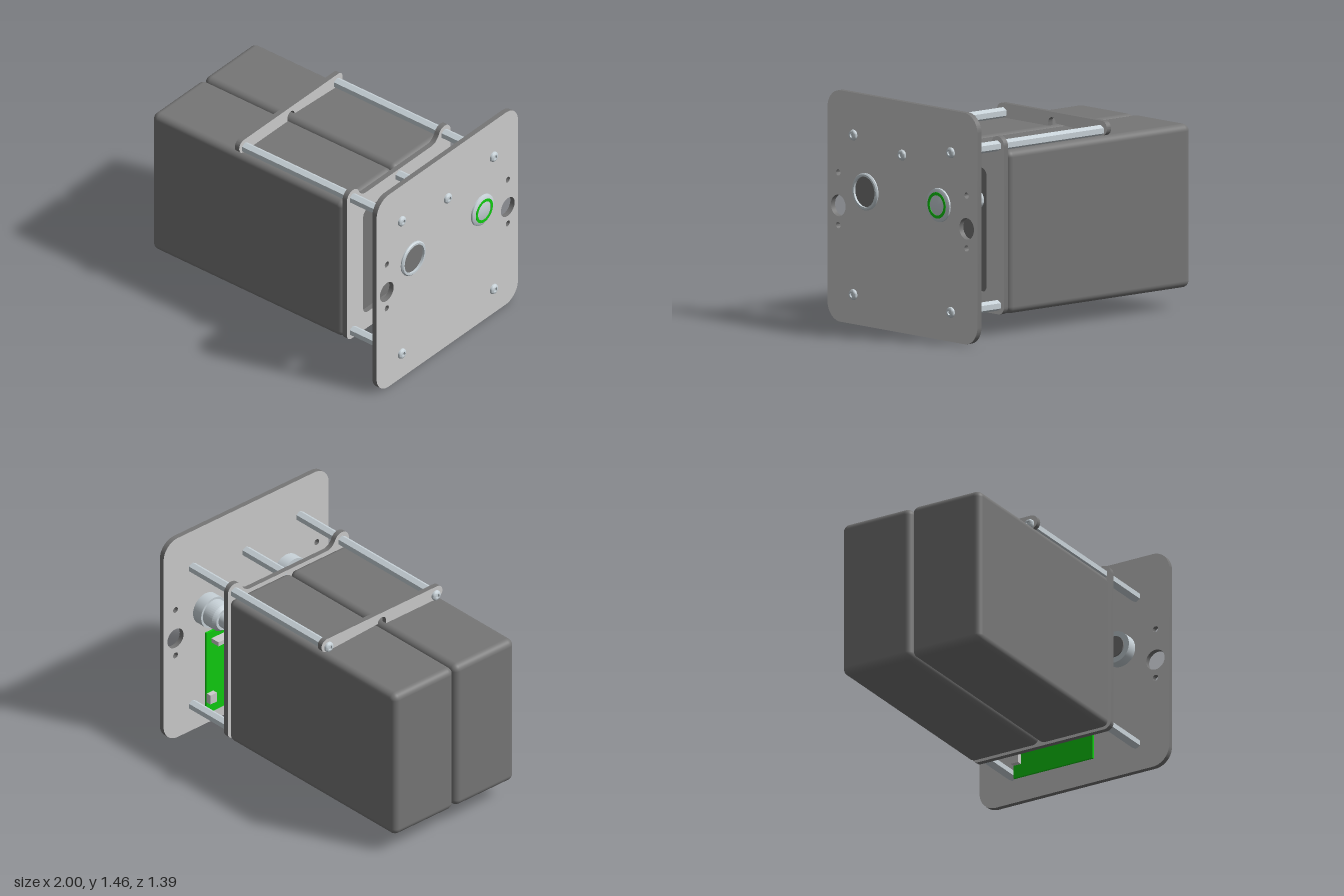
import * as THREE from 'three';
import { toCreasedNormals } from 'three/addons/utils/BufferGeometryUtils.js';
import { RoundedBoxGeometry } from 'three/addons/geometries/RoundedBoxGeometry.js';

const grey = new THREE.MeshStandardMaterial({ color: 0xcccccc });
const dark = new THREE.MeshStandardMaterial({ color: 0x767676 });
const metal = new THREE.MeshStandardMaterial({ color: 0xc8d2d8 });
const green = new THREE.MeshStandardMaterial({ color: 0x10cc10 });

export function createModel() {
  const model = new THREE.Group();

  const add = (name, geometry, material, x = 0, y = 0, z = 0) => {
    const mesh = new THREE.Mesh(geometry, material);
    mesh.name = name;
    mesh.position.set(x, y, z);
    model.add(mesh);
    return mesh;
  };

  // Box given by its limits on each axis
  const box = (name, [x0, x1], [y0, y1], [z0, z1], material = grey, radius = 0) => {
    const size = [x1 - x0, y1 - y0, z1 - z0];
    const geometry = radius ? new RoundedBoxGeometry(...size, 5, radius) : new THREE.BoxGeometry(...size);
    return add(name, geometry, material, (x0 + x1) / 2, (y0 + y1) / 2, (z0 + z1) / 2);
  };

  // Flat plate: shape drawn in (-z, y), thickness along x, light faces and dark cut edges
  const plate = (name, shape, x0, x1) => {
    const geometry = new THREE.ExtrudeGeometry(shape, { depth: x1 - x0, bevelEnabled: false, curveSegments: 16 });
    geometry.rotateY(Math.PI / 2);
    const creased = toCreasedNormals(geometry, 0.6);
    return add(name, creased, [grey, dark], x0, 0, 0);
  };

  // Turned part about the x axis, profile of [radius, x]
  const turned = (name, profile, y, z, material = metal, x = 0, segments = 40) => {
    const geometry = new THREE.LatheGeometry(profile.map(p => new THREE.Vector2(...p)), segments);
    geometry.rotateZ(-Math.PI / 2);
    return add(name, toCreasedNormals(geometry, 0.6), material, x, y, z);
  };

  const roundedRect = (path, u0, u1, v0, v1, r) => {
    path.absarc(u1 - r, v0 + r, r, -Math.PI / 2, 0);
    path.absarc(u1 - r, v1 - r, r, 0, Math.PI / 2);
    path.absarc(u0 + r, v1 - r, r, Math.PI / 2, Math.PI);
    path.absarc(u0 + r, v0 + r, r, Math.PI, Math.PI * 1.5);
    path.closePath();
    return path;
  };
  const hole = (u, v, r) => new THREE.Path().absarc(u, v, r, 0, Math.PI * 2, true);

  // Pair of battery blocks
  box('leftBattery', [-1, 0.547], [0.13, 1.165], [0.002, 0.507], dark, 0.045);
  box('rightBattery', [-1, 0.547], [0.13, 1.165], [-0.51, -0.002], dark, 0.045);

  // Front panel with mounting and control holes
  const panel = roundedRect(new THREE.Shape(), -0.695, 0.695, 0, 1.464, 0.12);
  for (const s of [-1, 1]) {
    panel.holes.push(hole(s * 0.595, 0.733, 0.068), hole(s * 0.595, 0.942, 0.02), hole(s * 0.595, 0.608, 0.02));
    panel.holes.push(hole(s * 0.34, 0.852, 0.1));
  }
  plate('frontPanel', panel, 0.94, 0.975);

  // Retaining frame with rounded ears at the upper rods and a large window
  const earX = 0.45 - 0.06 * Math.cos(Math.PI * 0.15);
  const earY = 1.197 + 0.06 * Math.sin(Math.PI * 0.15);
  const frame = new THREE.Shape();
  frame.absarc(0.46, 0.18, 0.05, -Math.PI / 2, 0);
  frame.absarc(0.45, 1.197, 0.06, 0, Math.PI * 0.85);
  frame.quadraticCurveTo(0.37, 1.17, 0.32, 1.17);
  frame.lineTo(-0.32, 1.17);
  frame.quadraticCurveTo(-0.37, 1.17, -earX, earY);
  frame.absarc(-0.45, 1.197, 0.06, Math.PI * 0.15, Math.PI);
  frame.absarc(-0.46, 0.18, 0.05, Math.PI, Math.PI * 1.5);
  frame.closePath();
  frame.holes.push(roundedRect(new THREE.Path(), -0.35, 0.35, 0.25, 1.04, 0.05));
  plate('retainingFrame', frame, 0.548, 0.583);

  // Rear clamp bar with a small notch under its middle
  const bar = new THREE.Shape();
  bar.moveTo(0.035, 1.165);
  bar.absarc(0.463, 1.211, 0.046, -Math.PI / 2, Math.PI / 2);
  bar.absarc(-0.463, 1.211, 0.046, Math.PI / 2, Math.PI * 1.5);
  bar.lineTo(-0.035, 1.165);
  bar.absarc(0, 1.188, 0.035, Math.PI, 0, true);
  bar.closePath();
  plate('clampBar', bar, -0.322, -0.287);

  // Hexagonal spacer rods, flat side to the front, and their socket screws
  const rod = (x0, x1, y, z) => {
    const geometry = new THREE.CylinderGeometry(0.034, 0.034, x1 - x0, 6).toNonIndexed();
    geometry.rotateY(Math.PI / 6);
    geometry.rotateZ(Math.PI / 2);
    geometry.computeVertexNormals();
    add('spacerRod', geometry, metal, (x0 + x1) / 2, y, z);
  };
  const screw = (x, y, z) => turned('screw',
    [[0.034, 0], [0.034, 0.007], [0.03, 0.015], [0.022, 0.02], [0.015, 0.02], [0.015, 0.008], [0, 0.008]], y, z, metal, x, 24);
  for (const z of [-0.452, 0.452]) {
    rod(-0.287, 0.548, 1.197, z);
    rod(0.583, 0.94, 1.197, z);
    rod(0.583, 0.94, 0.187, z);
    screw(0.975, 1.197, z);
    screw(0.975, 0.187, z);
    screw(-0.322, 1.197, z).rotation.y = Math.PI;
  }
  rod(0.548, 0.94, 1.126, 0);
  screw(0.975, 1.126, 0);

  // Push button with stepped body and lit ring
  turned('pushButton', [[0, 0.648], [0.057, 0.648], [0.057, 0.758], [0.075, 0.758], [0.092, 0.783], [0.092, 0.865],
    [0.107, 0.865], [0.107, 0.975], [0.108, 0.975], [0.106, 0.985], [0.09, 0.994], [0, 0.994]], 0.852, -0.34);
  turned('buttonRing', [[0.083, 0.99], [0.083, 0.997], [0.064, 0.997], [0.064, 0.99]], 0.852, -0.34, green);

  // Round socket: metal bezel around a dark core
  turned('socketBezel', [[0.07, 0.865], [0.107, 0.865], [0.107, 0.975], [0.118, 0.975], [0.118, 0.982],
    [0.11, 0.99], [0.097, 0.99], [0.097, 0.965]], 0.852, 0.34);
  turned('socketCore', [[0, 0.855], [0.07, 0.855], [0.07, 0.87], [0.097, 0.87], [0.097, 0.975], [0, 0.975]], 0.852, 0.34, dark);

  // Circuit board with its components
  box('circuitBoard', [0.865, 0.88], [0.13, 0.722], [-0.4, 0.18], green);
  box('display', [0.88, 0.9], [0.22, 0.65], [-0.25, 0.06]);
  box('displayFace', [0.9, 0.93], [0.215, 0.642], [-0.24, 0.045]);
  box('relay', [0.8, 0.865], [0.48, 0.635], [-0.065, 0.1]);
  box('sideConnector', [0.8, 0.865], [0.48, 0.635], [0.1, 0.13]);
  box('terminal', [0.8, 0.865], [0.64, 0.67], [-0.36, -0.17]);
  box('lowerConnector', [0.83, 0.865], [0.215, 0.28], [-0.4, -0.345]);

  return model;
}
